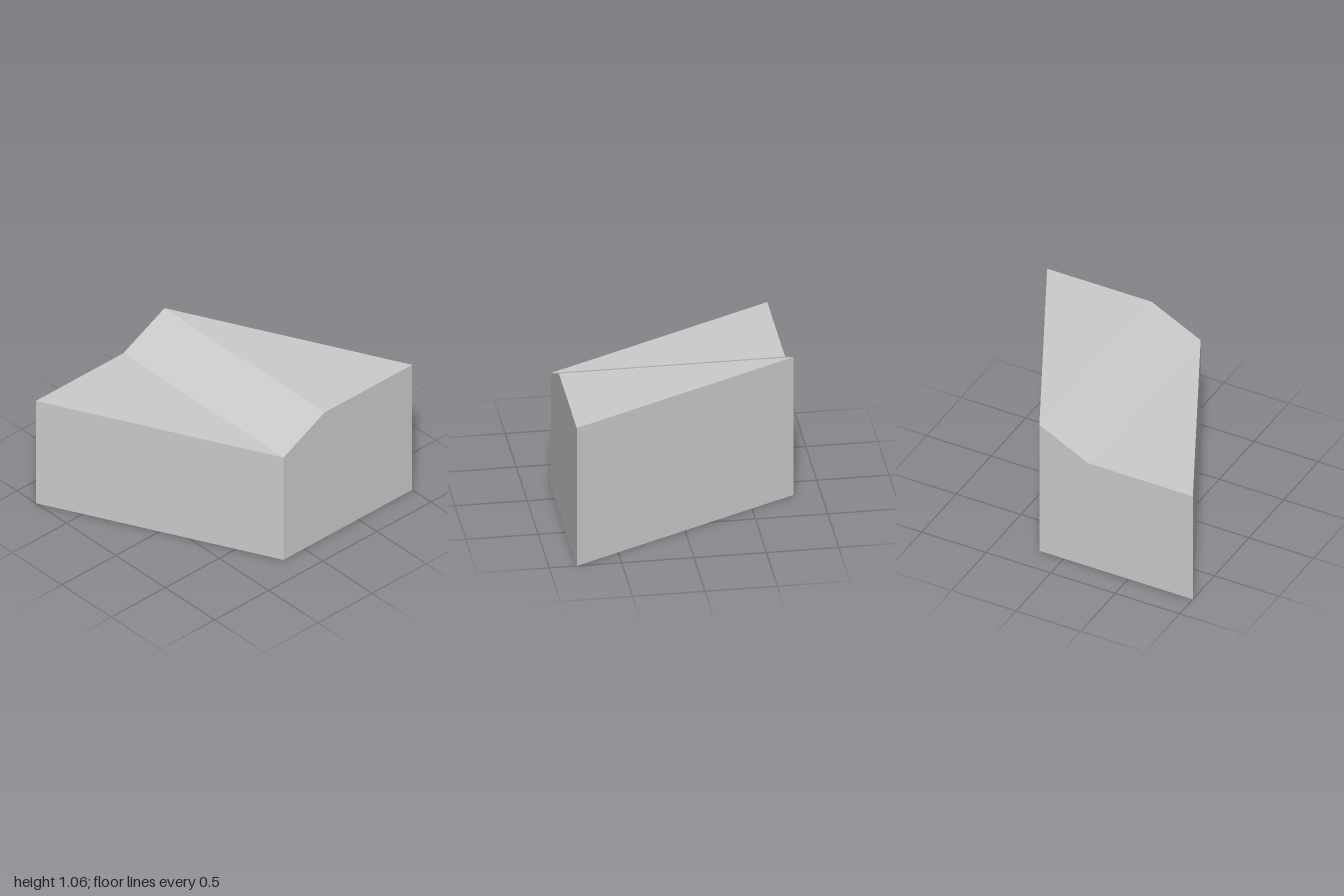
import * as THREE from 'three';
import { mergeGeometries } from 'three/addons/utils/BufferGeometryUtils.js';

const LOW = 0.87, HIGH = 1.063, FOLD = 0.19, DEPTH = 0.81;
const FLOOR = 0.125, PANE_H = 0.039;

const material = new THREE.MeshStandardMaterial({ color: 0xcccccc, flatShading: true, side: THREE.DoubleSide });

// plan corners (x, z) of the slanted block
const backLeft = [-1, -DEPTH], backRight = [FOLD, -DEPTH];
const frontRight = [1, DEPTH], frontLeft = [-FOLD, DEPTH];
const foldBack = [-FOLD, -DEPTH], foldFront = [FOLD, DEPTH];

const shapeOf = (points) => new THREE.Shape(points.map(([a, b]) => new THREE.Vector2(a, b)));

// roof height depends on x only: low flat, ramp, high flat
function roofHeight(x) {
  const t = THREE.MathUtils.clamp((x + FOLD) / (2 * FOLD), 0, 1);
  return THREE.MathUtils.lerp(LOW, HIGH, t);
}

function roofPart(name, corners) {
  const geo = new THREE.ShapeGeometry(shapeOf(corners.map(([x, z]) => [x, -z])));
  geo.rotateX(-Math.PI / 2);
  const pos = geo.attributes.position;
  for (let i = 0; i < pos.count; i++) pos.setY(i, roofHeight(pos.getX(i)));
  geo.computeVertexNormals();
  const mesh = new THREE.Mesh(geo, material);
  mesh.name = name;
  return mesh;
}

// rows of small panes; each band is [start, end, top of the highest row, pane count]
function windowPanes(bands) {
  const panes = [];
  for (const [start, end, top, count] of bands) {
    const pitch = (end - start) / count;
    for (let y = top; y - PANE_H > 0; y -= FLOOR) {
      for (let i = 0; i < count; i++) {
        const pane = new THREE.PlaneGeometry(pitch * 0.85, PANE_H);
        pane.translate(start + pitch * (i + 0.5), y - PANE_H / 2, 0.001);
        panes.push(pane);
      }
    }
  }
  return mergeGeometries(panes);
}

// a wall standing between two plan corners, with its top edge as [distance, height] points
function wall(name, from, to, topEdge, bands) {
  const dx = to[0] - from[0], dz = to[1] - from[1], length = Math.hypot(dx, dz);
  const group = new THREE.Group();
  group.name = name;
  const outline = [[0, 0], [length, 0], ...topEdge(length).reverse()];
  const panel = new THREE.Mesh(new THREE.ShapeGeometry(shapeOf(outline)), material);
  panel.name = name + 'Panel';
  const windows = new THREE.Mesh(windowPanes(bands(length)), material);
  windows.name = name + 'Windows';
  group.add(panel, windows);
  group.position.set(from[0], 0, from[1]);
  group.rotation.y = Math.atan2(-dz, dx);
  return group;
}

export function createModel() {
  const model = new THREE.Group();
  model.name = 'slantedBuilding';
  const lowTop = LOW - 0.062, highTop = HIGH - 0.064;

  // long side walls with four window bands each
  const sideBands = (top) => (len) => [
    [0, 0.148 * len, top, 4], [0.235 * len, 0.457 * len, top, 6],
    [0.543 * len, 0.765 * len, top, 6], [0.852 * len, len, top, 4],
  ];
  const flat = (h) => (len) => [[0, h], [len, h]];
  model.add(wall('leftSideWall', frontRight, backRight, flat(HIGH), sideBands(highTop)));
  model.add(wall('rightSideWall', backLeft, frontLeft, flat(LOW), sideBands(lowTop)));

  // short end walls following the folded roof
  const endWall = (name, from, to, startH, endH, startTop, endTop) => wall(
    name, from, to,
    (len) => [[0, startH], [2 * FOLD, endH], [len, endH]],
    (len) => [[0, 0.055, startTop, 1], [0.38, 0.68, endTop, 5], [0.88, len, endTop, 5]],
  );
  model.add(endWall('frontWall', frontLeft, frontRight, LOW, HIGH, lowTop, highTop));
  model.add(endWall('backWall', backRight, backLeft, HIGH, LOW, highTop, lowTop));

  // roof: low triangle, ramp and high triangle; the underside stays open
  model.add(roofPart('lowRoof', [backLeft, frontLeft, foldBack]));
  model.add(roofPart('rampRoof', [foldBack, frontLeft, foldFront, backRight]));
  model.add(roofPart('highRoof', [backRight, foldFront, frontRight]));
  return model;
}
